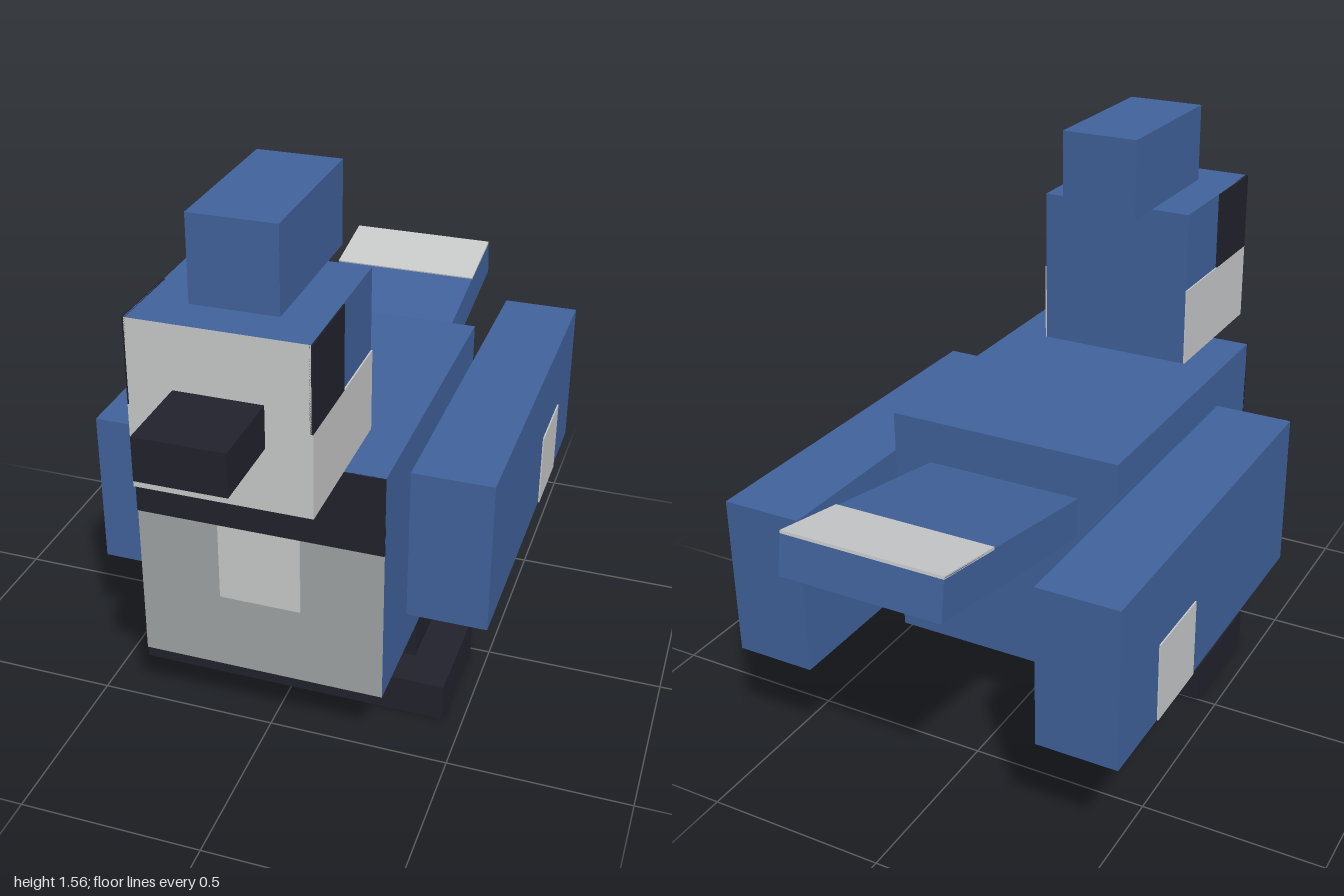
import * as THREE from 'three';

const U = 1 / 9; // one block unit
const T = 0.004; // thickness of painted plates

function paint(name, color) {
  const m = new THREE.MeshStandardMaterial({ color });
  m.name = name;
  return m;
}

export function createModel() {
  const blue = paint('blue', 0x41629c);
  const black = paint('black', 0x22222d);
  const white = paint('white', 0xc8c9ca);
  const gray = paint('gray', 0xa0a3a3);

  const model = new THREE.Group();
  model.name = 'blockBird';

  // Box from its lowest to its highest corner
  function box(name, material, [x0, y0, z0], [x1, y1, z1], parent = model) {
    const mesh = new THREE.Mesh(new THREE.BoxGeometry(x1 - x0, y1 - y0, z1 - z0), material);
    mesh.position.set((x0 + x1) / 2, (y0 + y1) / 2, (z0 + z1) / 2);
    mesh.name = name;
    parent.add(mesh);
    return mesh;
  }

  // The same box on both sides of x = 0
  function pair(name, material, [x0, y0, z0], [x1, y1, z1]) {
    box('left' + name, material, [x0, y0, z0], [x1, y1, z1]);
    box('right' + name, material, [-x1, y0, z0], [-x0, y1, z1]);
  }

  // Body: gray chest and belly, black collar, white bib
  // (material order: +x, -x, top, bottom, front, back)
  box('body', [blue, blue, blue, gray, gray, blue], [-3 * U, 2 * U, -3 * U], [3 * U, 8 * U, 5 * U]);
  box('collar', black, [-3 * U, 6 * U, 5 * U - T], [3 * U, 8 * U, 5 * U + T]);
  box('bib', white, [-U, 4 * U, 5 * U - T], [U, 6 * U, 5 * U + T]);

  // Head: white face, white cheeks, black eye patches
  box('head', [blue, blue, blue, white, white, blue], [-2 * U, 8 * U, 3 * U], [2 * U, 12 * U, 7 * U]);
  pair('Cheek', white, [2 * U - T, 8 * U, 3 * U], [2 * U + T, 10 * U, 7 * U]);
  pair('EyePatch', black, [2 * U - T, 10 * U, 5 * U], [2 * U + T, 12 * U, 7 * U]);
  box('crest', blue, [-U, 12 * U, 2 * U], [U, 14 * U, 6 * U]);
  box('beak', black, [-U, 9.5 * U, 7 * U], [U, 10.5 * U, 9 * U]);

  // Wings with a white spot on the outer side
  pair('Wing', blue, [3 * U, 3 * U, -7 * U], [5 * U, 7 * U, 3 * U]);
  pair('WingSpot', white, [5 * U - T, 3 * U, -5 * U], [5 * U + T, 5 * U, -3 * U]);

  // Legs on one wide foot
  pair('Leg', black, [U, U, 0], [3 * U, 2 * U, 2 * U]);
  box('feet', black, [-4 * U, 0, 0], [4 * U, U, 3 * U]);

  // Tail, tilted up toward its white tip
  const tail = new THREE.Group();
  tail.name = 'tail';
  tail.position.set(0, 0.768, -0.662);
  tail.rotation.x = THREE.MathUtils.degToRad(10);
  box('tailFan', blue, [-2 * U, -U / 2, -3 * U], [2 * U, U / 2, 3 * U], tail);
  box('tailTip', white, [-2 * U, U / 2 - T, -3 * U], [2 * U, U / 2 + T, -U], tail);
  model.add(tail);

  return model;
}
